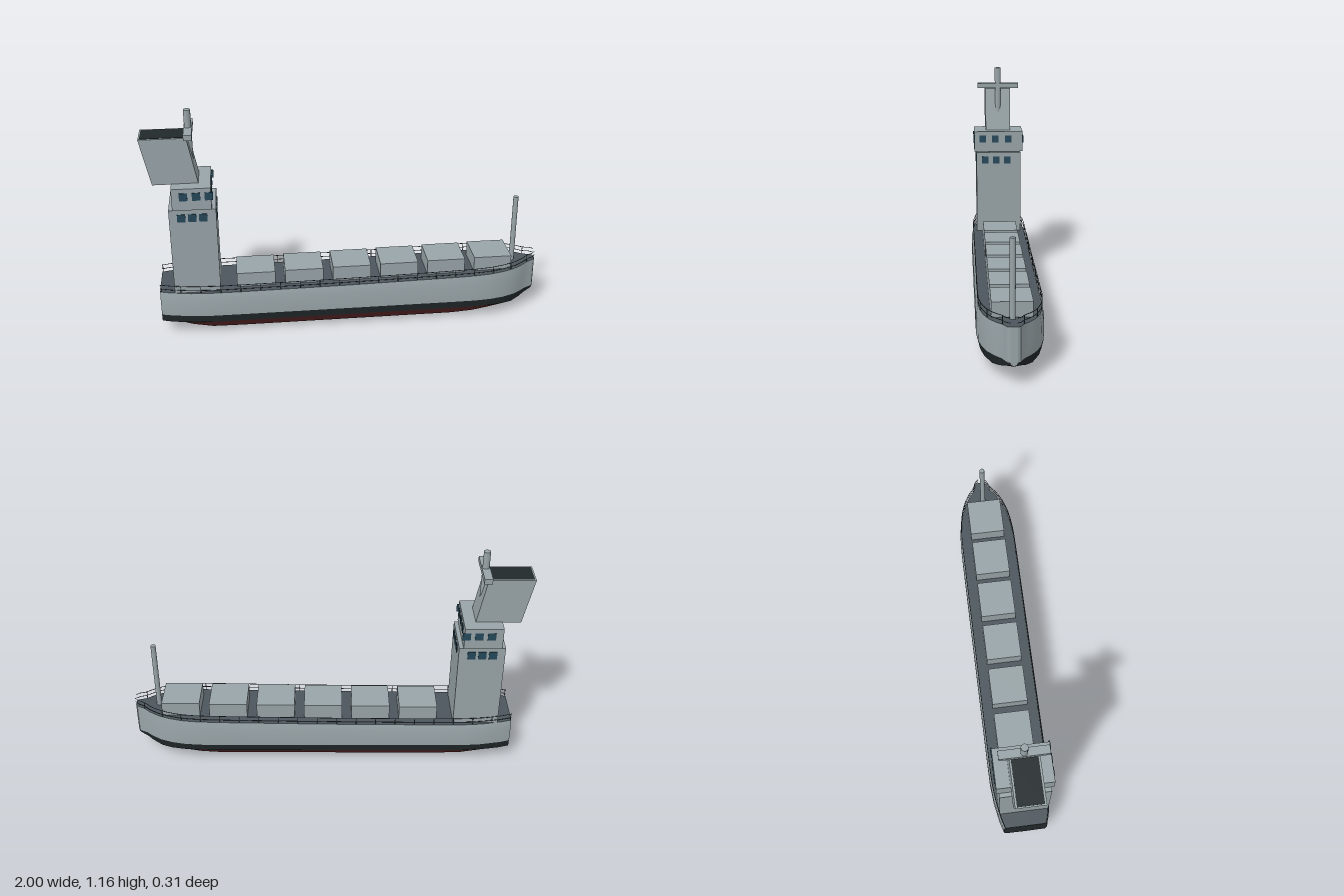
import * as THREE from 'three';
import { toCreasedNormals } from 'three/addons/utils/BufferGeometryUtils.js';

const mat = (color) => new THREE.MeshStandardMaterial({ color });

// Hull stations: x, half beam, keel height, deck height
const STATIONS = [
  [-0.955, 0.112, 0.062, 0.238], [-0.9, 0.128, 0.045, 0.237], [-0.8, 0.146, 0.018, 0.236],
  [-0.7, 0.154, 0.002, 0.236], [-0.55, 0.155, 0, 0.236], [0, 0.155, 0, 0.24],
  [0.55, 0.155, 0, 0.249], [0.66, 0.154, 0.007, 0.252], [0.74, 0.147, 0.018, 0.254],
  [0.81, 0.132, 0.032, 0.257], [0.87, 0.109, 0.045, 0.259], [0.92, 0.077, 0.06, 0.262],
  [0.95, 0.05, 0.071, 0.264], [0.975, 0.038, 0.081, 0.266], [0.992, 0.03, 0.088, 0.268],
  [1, 0.016, 0.092, 0.269],
];

// Cross-section heights and half widths, deck edge down to the keel
function section([x, w, keel, deck]) {
  const fade = THREE.MathUtils.smoothstep(x, 0.78, 0.92);
  const redTop = THREE.MathUtils.lerp(Math.max(0.068, keel + 0.008), keel + 0.006, fade);
  return [
    [deck, w * 0.94], [0.2, w], [0.11, w],
    [redTop, w * THREE.MathUtils.lerp(0.93, 0.75, fade)],
    [keel + 0.005, w * 0.55], [keel, 0],
  ];
}

// Skin between the same curve at every station
function loft(curve) {
  const pos = [], index = [];
  let n = 0;
  STATIONS.forEach((s) => {
    const pts = curve(section(s));
    n = pts.length;
    pts.forEach(([y, z]) => pos.push(s[0], y, z));
  });
  for (let i = 0; i < STATIONS.length - 1; i++) {
    for (let j = 0; j < n - 1; j++) {
      const a = i * n + j, b = a + n;
      index.push(a, a + 1, b, b, a + 1, b + 1);
    }
  }
  const g = new THREE.BufferGeometry();
  g.setAttribute('position', new THREE.Float32BufferAttribute(pos, 3));
  g.setIndex(index);
  return toCreasedNormals(g, 0.6);
}

const flip = (pts) => pts.map(([y, z]) => [y, -z]).reverse();

// Flat end of the hull at one station
function endCap(station, dir) {
  const half = section(station);
  const shape = new THREE.Shape([...half, ...flip(half.slice(0, -1))].map(([y, z]) => new THREE.Vector2(-dir * z, y)));
  const g = new THREE.ShapeGeometry(shape);
  g.rotateY(dir * Math.PI / 2);
  g.translate(station[0], 0, 0);
  return g;
}

// Deck edge point at any x
function deckEdge(x, side, lift) {
  let i = 0;
  while (i < STATIONS.length - 2 && STATIONS[i + 1][0] < x) i++;
  const a = STATIONS[i], b = STATIONS[i + 1], t = (x - a[0]) / (b[0] - a[0]);
  const w = THREE.MathUtils.lerp(a[1], b[1], t), y = THREE.MathUtils.lerp(a[3], b[3], t);
  return new THREE.Vector3(x, y + lift, side * w * 0.94);
}

export function createModel() {
  const ship = new THREE.Group();
  ship.name = 'cargoShip';
  const grey = mat(0x98a4a8), deckMat = mat(0x4c565c), black = mat(0x22292b);
  const red = mat(0x5c2826), glass = mat(0x25485a), railMat = mat(0x414a4e);

  const add = (name, geo, m, x = 0, y = 0, z = 0, parent = ship) => {
    const mesh = new THREE.Mesh(geo, m);
    mesh.name = name;
    mesh.position.set(x, y, z);
    parent.add(mesh);
    return mesh;
  };
  const box = (name, x0, x1, y0, y1, z0, z1, m, parent = ship) =>
    add(name, new THREE.BoxGeometry(x1 - x0, y1 - y0, z1 - z0), m,
      (x0 + x1) / 2, (y0 + y1) / 2, (z0 + z1) / 2, parent);

  // Hull
  const hull = new THREE.Group();
  hull.name = 'hull';
  ship.add(hull);
  const strip = (name, from, to, m) => {
    add(name + 'Left', loft((s) => s.slice(from, to + 1)), m, 0, 0, 0, hull);
    add(name + 'Right', loft((s) => flip(s.slice(from, to + 1))), m, 0, 0, 0, hull);
  };
  strip('topside', 0, 2, grey);
  strip('waterlineBand', 2, 3, black);
  add('bottom', loft((s) => [...s.slice(3), ...flip(s.slice(3, 5))]), red, 0, 0, 0, hull);
  add('deck', loft(([[y, z]]) => [[y, -z], [y + 0.002, 0], [y, z]]), deckMat, 0, 0, 0, hull);
  add('transom', endCap(STATIONS[0], -1), black, 0, 0, 0, hull);
  add('stem', endCap(STATIONS[STATIONS.length - 1], 1), grey, 0, 0, 0, hull);

  // Cargo hatches, following the rise of the deck
  for (let i = 0; i < 6; i++) {
    const x = -0.47 + i * 0.245;
    box('cargoHatch', x - 0.0975, x + 0.0975, 0.23, 0.312 + i * 0.0036, -0.092, 0.092, grey);
  }

  // Deckhouse and bridge
  box('deckhouse', -0.88, -0.65, 0.22, 0.695, -0.125, 0.125, grey);
  box('bridgeJoint', -0.855, -0.675, 0.69, 0.705, -0.12, 0.12, deckMat);
  box('bridge', -0.86, -0.67, 0.699, 0.812, -0.137, 0.137, grey);

  // Windows on the sides and the forward face
  const windows = (name, y, xs, zs, faceX, faceZ) => {
    const h = 0.02, d = 0.004;
    for (const x of xs) for (const s of [-1, 1]) {
      box(name, x - h, x + h, y - h, y + h, s * faceZ - d, s * faceZ + d, glass);
    }
    for (const z of zs) box(name, faceX - d, faceX + d, y - h, y + h, z - h * 0.9, z + h * 0.9, glass);
  };
  windows('deckhouseWindow', 0.652, [-0.82, -0.767, -0.714], [0.077, 0.013, -0.05], -0.65, 0.125);
  windows('bridgeWindow', 0.77, [-0.803, -0.741, -0.68], [0.089, 0.018, -0.055], -0.67, 0.137);

  // Raked funnel with a dark mouth
  const side = new THREE.Shape([[-0.95, 0.81], [-0.728, 0.81], [-0.773, 1.045], [-1, 1.045]]
    .map(([x, y]) => new THREE.Vector2(x, y)));
  add('funnel', new THREE.ExtrudeGeometry(side, { depth: 0.14, bevelEnabled: false }), grey, 0, 0, -0.07);
  box('funnelMouth', -0.993, -0.781, 1.04, 1.047, -0.061, 0.061, black);

  // Masts
  add('radarMast', new THREE.CylinderGeometry(0.017, 0.017, 0.335, 20), grey, -0.764, 0.9975, 0);
  box('radarBar', -0.784, -0.744, 1.05, 1.077, -0.116, 0.116, grey);
  add('foremast', new THREE.CylinderGeometry(0.013, 0.013, 0.375, 20), grey, 0.88, 0.4375, 0);

  // Railings
  const rails = new THREE.Group();
  rails.name = 'railings';
  ship.add(rails);
  for (const s of [-1, 1]) {
    for (const lift of [0.018, 0.04]) {
      const path = new THREE.CatmullRomCurve3(STATIONS.map(([x]) => deckEdge(x, s, lift)));
      add('rail', new THREE.TubeGeometry(path, 80, 0.0018, 5), railMat, 0, 0, 0, rails);
    }
    for (let i = 0; i <= 19; i++) {
      const p = deckEdge(-0.95 + i * 0.1, s, 0.02);
      add('railPost', new THREE.CylinderGeometry(0.0018, 0.0018, 0.04, 5), railMat, p.x, p.y, p.z, rails);
    }
  }
  return ship;
}
